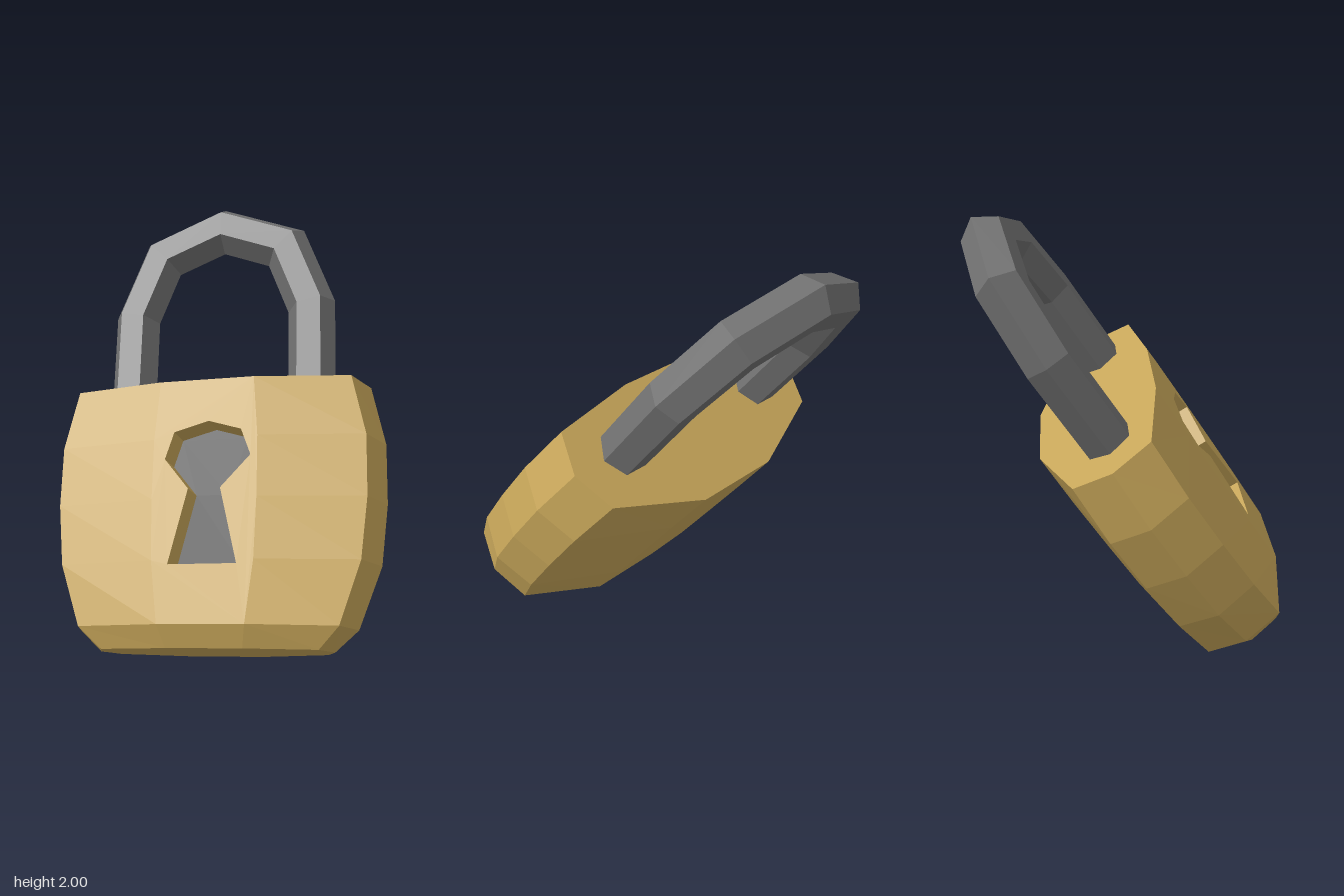
import * as THREE from 'three';

const gold = new THREE.MeshStandardMaterial({ color: 0xc6a559, flatShading: true });
const steel = new THREE.MeshStandardMaterial({ color: 0x707070, flatShading: true });
const black = new THREE.MeshStandardMaterial({ color: 0x080808 });

const FRONT = 0.26;   // depth of the flat front panel
const RECESS = 0.14;  // depth of the keyhole

// Joins closed rings of points, capping both ends; skip(i, j) leaves a quad open
function loft(rings, skip = () => false) {
  const n = rings[0].length, last = rings.length - 1, index = [];
  for (let i = 0; i < last; i++) {
    for (let j = 0; j < n; j++) {
      if (skip(i, j)) continue;
      const k = (j + 1) % n;
      const a = i * n + j, b = i * n + k, c = b + n, d = a + n;
      index.push(a, d, c, a, c, b);
    }
  }
  for (let j = 1; j < n - 1; j++) {
    index.push(0, j, j + 1, last * n, last * n + j + 1, last * n + j);
  }
  const geo = new THREE.BufferGeometry();
  geo.setAttribute('position', new THREE.Float32BufferAttribute(rings.flat(2), 3));
  geo.setIndex(index);
  const flat = geo.toNonIndexed();
  flat.computeVertexNormals();
  return flat;
}

function add(group, name, geometry, material) {
  const mesh = new THREE.Mesh(geometry, material);
  mesh.name = name;
  group.add(mesh);
  return mesh;
}

export function createModel() {
  const group = new THREE.Group();
  const lock = new THREE.Group();
  lock.name = 'padlock';
  group.add(lock);

  // Body levels: height, corner x, side x, inner x, corner z, front z, back z
  const levels = [
    [0, 0.65, 0.717, 0.22, 0.19, FRONT, -0.355],
    [-0.276, 0.712, 0.78, 0.24, 0.19, FRONT, -0.355],
    [-0.553, 0.712, 0.78, 0.24, 0.19, FRONT, -0.355],
    [-0.829, 0.681, 0.75, 0.23, 0.19, FRONT, -0.355],
    [-1.105, 0.585, 0.645, 0.195, 0.187, FRONT, -0.345],
    [-1.2, 0.49, 0.54, 0.172, 0.134, 0.19, -0.257],
  ];
  const rings = levels.map(([y, c, s, m, cz, fz, bz]) => [
    [c, y, cz], [s, y, 0], [c, y, -cz], [m, y, bz], [-m, y, bz],
    [-c, y, -cz], [-s, y, 0], [-c, y, cz], [-m, y, fz], [m, y, fz],
  ]);
  add(lock, 'body', loft(rings, (i, j) => j === 8 && i < 4), gold);

  // Front panel with the keyhole cut through it
  const hole = [
    [-0.155, -0.847], [0.155, -0.847], [0.075, -0.51], [0.21, -0.365], [0.165, -0.245],
    [0.015, -0.2], [-0.145, -0.245], [-0.185, -0.37], [-0.072, -0.51],
  ].map(([x, y]) => new THREE.Vector2(x, y));
  const edge = levels.slice(0, 5).map(l => new THREE.Vector2(l[3], l[0]));
  const mirrored = edge.map(p => new THREE.Vector2(-p.x, p.y));
  const panel = new THREE.Shape([...mirrored, ...edge.reverse()]);
  panel.holes.push(new THREE.Path(hole));
  const panelGeo = new THREE.ExtrudeGeometry(panel, { depth: RECESS, bevelEnabled: false });
  add(lock, 'keyholePanel', panelGeo, gold).position.z = FRONT - RECESS;

  // Dark floor of the keyhole
  const floor = new THREE.ShapeGeometry(new THREE.Shape(hole));
  add(lock, 'keyholeFloor', floor, black).position.z = FRONT - RECESS;

  // Shackle: hexagonal bar mitred along an arch
  const path = [
    [-0.44, -0.06], [-0.44, 0.435], [-0.315, 0.76], [0, 0.885],
    [0.315, 0.76], [0.44, 0.435], [0.44, -0.06],
  ].map(([x, y]) => new THREE.Vector2(x, y));
  const radius = 0.113;
  const normal = (a, b) => {
    const d = b.clone().sub(a).normalize();
    return new THREE.Vector2(-d.y, d.x);
  };
  const bar = path.map((p, i) => {
    const n1 = normal(path[Math.max(i - 1, 0)], path[Math.max(i, 1)]);
    const n2 = normal(path[Math.min(i, 5)], path[Math.min(i + 1, 6)]);
    const n = n1.clone().add(n2).normalize();
    n.divideScalar(n.dot(n1));
    return Array.from({ length: 6 }, (_, k) => {
      const a = k * Math.PI / 3, r = radius * Math.cos(a);
      return [p.x + n.x * r, p.y + n.y * r, -radius * Math.sin(a)];
    });
  });
  add(lock, 'shackle', loft(bar), steel);

  // Tilted pose: leaning back, turned and rolled; origin is the centre of the body's top
  const x = new THREE.Vector3(0.862, 0.123, 0.492).normalize();
  const z = new THREE.Vector3(-0.476, 0.54, 0.694).normalize();
  const y = new THREE.Vector3().crossVectors(z, x).normalize();
  z.crossVectors(x, y);
  lock.quaternion.setFromRotationMatrix(new THREE.Matrix4().makeBasis(x, y, z));
  lock.position.set(0.084, 1.165, -0.168);
  return group;
}
